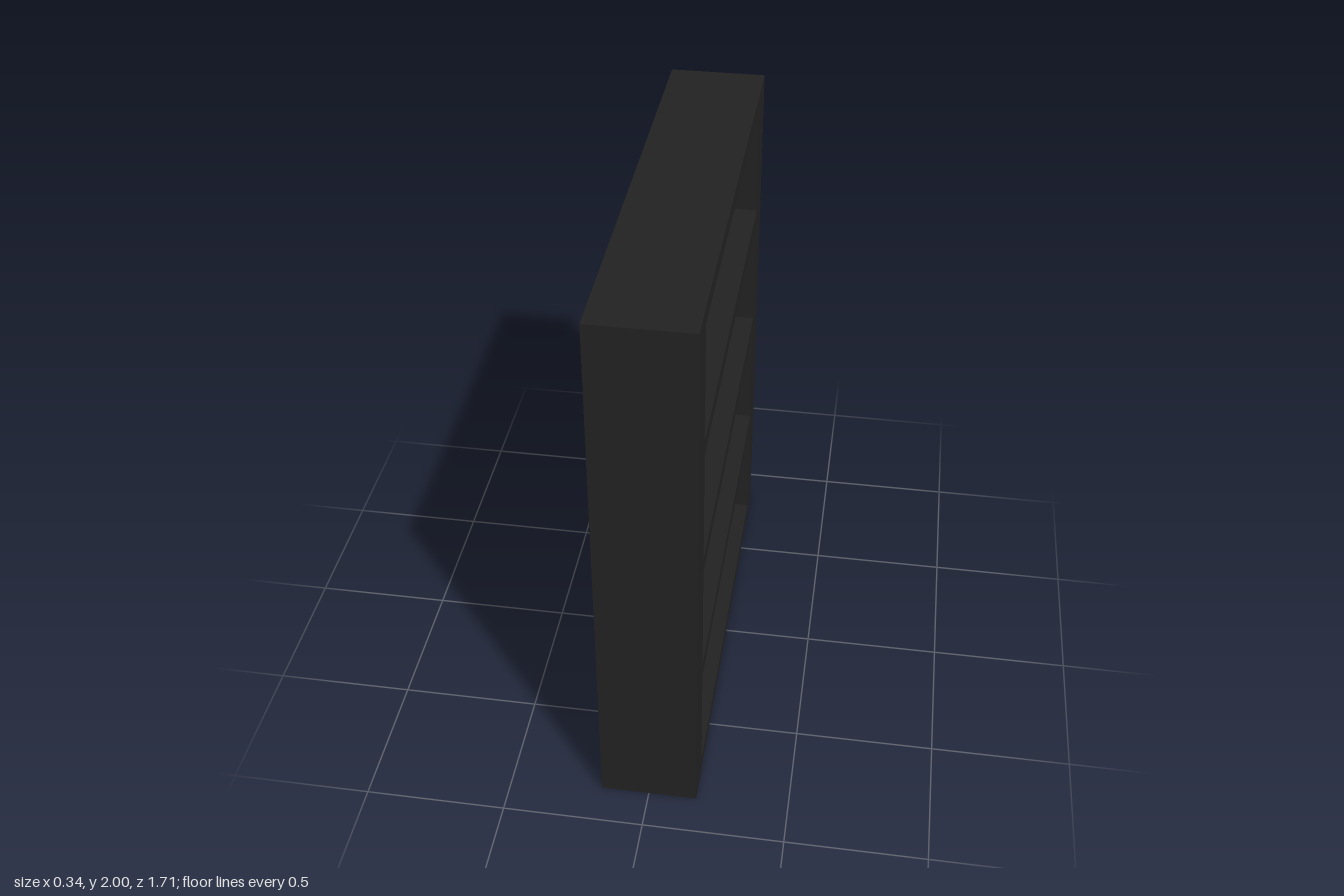
import * as THREE from 'three';

const W = 0.343, H = 2, D = 1.714;   // overall x, y, z
const SIDE = 0.137;                  // side post thickness
const BOARD = 0.054;                 // shelf and back thickness
const BAYS = 4;

export function createModel() {
  const group = new THREE.Group();
  group.name = 'bookcase';
  const black = new THREE.MeshStandardMaterial({ color: 0x222222 });
  black.name = 'black';

  const box = (name, w, h, d, x, y, z) => {
    const mesh = new THREE.Mesh(new THREE.BoxGeometry(w, h, d), black);
    mesh.name = name;
    mesh.position.set(x, y, z);
    group.add(mesh);
  };

  // Side posts
  for (const s of [-1, 1]) {
    box(s > 0 ? 'frontSide' : 'rearSide', W, H, SIDE, 0, H / 2, s * (D - SIDE) / 2);
  }

  // Back panel closing the -x side
  const inner = D - 2 * SIDE;
  box('backPanel', BOARD, H, inner, -(W - BOARD) / 2, H / 2, 0);

  // Base, shelves and top, open toward +x
  const pitch = (H - BOARD) / BAYS;
  for (let i = 0; i <= BAYS; i++) {
    const name = i === 0 ? 'base' : i === BAYS ? 'top' : `shelf${i}`;
    box(name, W - BOARD, BOARD, inner, BOARD / 2, BOARD / 2 + i * pitch, 0);
  }
  return group;
}
